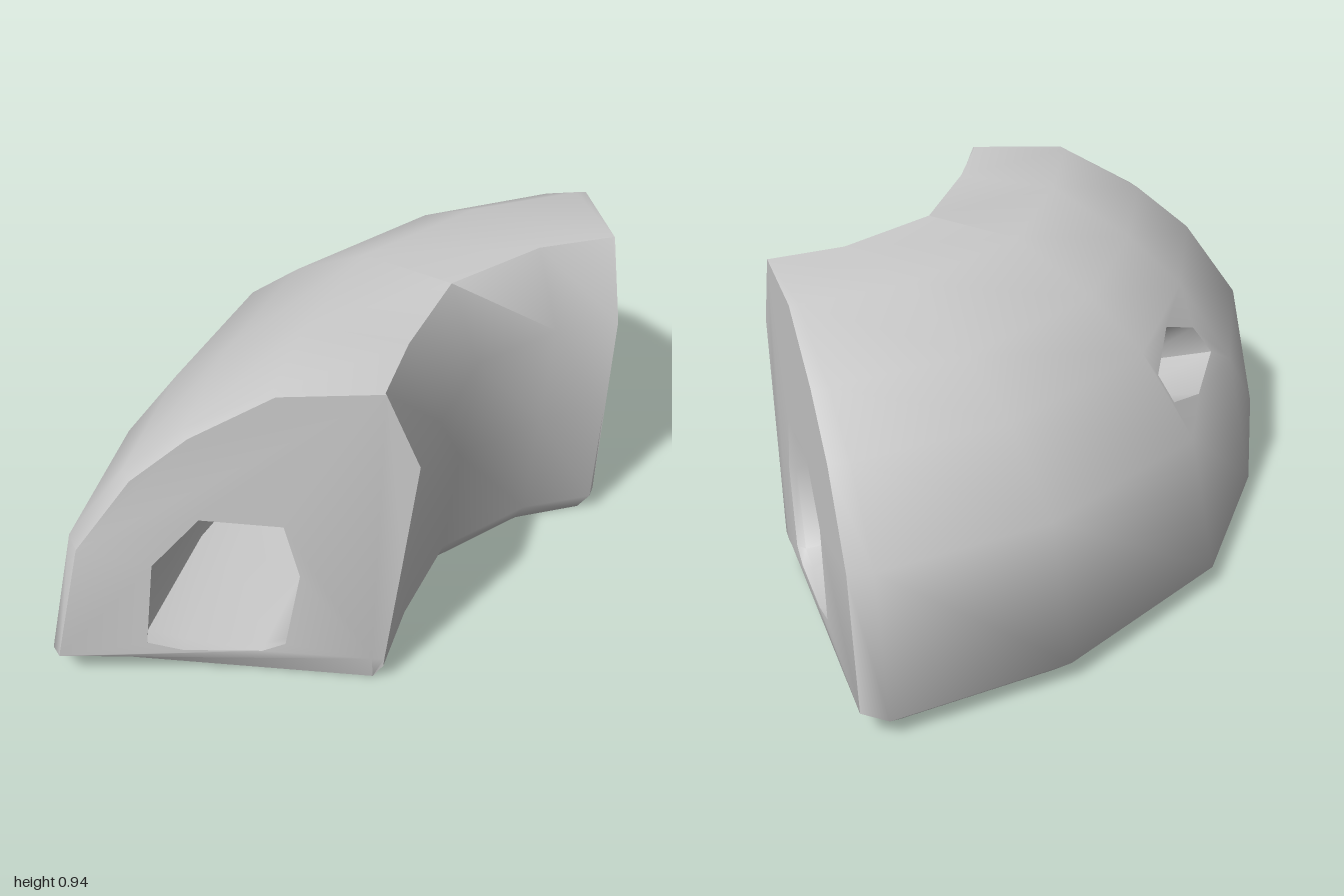
import * as THREE from 'three';
import { toCreasedNormals } from 'three/addons/utils/BufferGeometryUtils.js';

// Plan lines across the bend, front to back: outer x, z then inner x, z
const stations = [
  [-0.27, 1.0, 0.5, 0.48],
  [-0.33, 0.96, 0.5, 0.48],
  [-0.5, 0.52, 0.44, 0.3],
  [-0.59, 0.03, 0.38, 0.03],
  [-0.44, -0.54, 0.47, -0.22],
  [-0.15, -0.96, 0.585, -0.35],
  [-0.09, -1.0, 0.585, -0.35],
];
const LAST = stations.length - 1;

// Cross-sections as [fraction from outer to inner side, height]
const shellProfile = [
  [0.07, 0], [0, 0.06], [0.08, 0.45], [0.24, 0.67], [0.4, 0.8], [0.63, 0.925],
  [0.91, 0.935], [1, 0.72], [0.955, 0.4], [0.91, 0.06], [0.875, 0],
];
const tunnelProfile = [
  [0.25, 0.14], [0.28, 0.4], [0.415, 0.55], [0.64, 0.53],
  [0.68, 0.37], [0.635, 0.14], [0.57, 0.115], [0.35, 0.115],
];

// Window outline within one wall panel: [along the bend, up the wall]
const windowOutline = [
  [0.97, 0.4], [0.97, 0.72], [0.52, 0.9], [0.2, 0.6], [0.17, 0.26], [0.63, 0.17],
];
const WINDOW_STATION = 2;

function onStation(i, u, y) {
  const [ox, oz, ix, iz] = stations[i];
  return new THREE.Vector3(ox + (ix - ox) * u, y, oz + (iz - oz) * u);
}

// Sections of the shell; the end sections are raised for the bottom bevel
function shellSection(i) {
  const isEnd = i === 0 || i === LAST;
  return shellProfile.map(([u, y]) => {
    const p = onStation(i, u, isEnd ? Math.max(y, 0.09) : y);
    if (y === 0 && i === 1) p.lerp(onStation(2, u, y), 0.1);
    if (y === 0 && i === LAST - 1) p.lerp(onStation(LAST - 2, u, y), 0.1);
    return p;
  });
}

// Sections of the tunnel, drifting towards the inner side at the back
const tunnelUV = (i) => tunnelProfile.map(([u, y]) => [u + (0.11 * i) / LAST, y]);
const tunnelSection = (i) => tunnelUV(i).map(([u, y]) => onStation(i, u, y));

function createSurface() {
  const positions = [];
  const tri = (a, b, c, flip) => {
    for (const p of flip ? [a, c, b] : [a, b, c]) positions.push(p.x, p.y, p.z);
  };
  return {
    quad(a, b, c, d, flip) {
      tri(a, b, c, flip);
      tri(a, c, d, flip);
    },
    // Flat outline with one hole, placed in space by matching 3D points
    holed(outline, hole, points, flip) {
      const toV = (list) => list.map(([x, y]) => new THREE.Vector2(x, y));
      const contour = toV(outline), inner = toV(hole);
      const all = [...contour, ...inner];
      for (const [a, b, c] of THREE.ShapeUtils.triangulateShape(contour, [inner])) {
        const ccw = THREE.ShapeUtils.area([all[a], all[b], all[c]]) > 0;
        tri(points[a], points[b], points[c], ccw === flip);
      }
    },
    geometry() {
      const g = new THREE.BufferGeometry();
      g.setAttribute('position', new THREE.Float32BufferAttribute(positions, 3));
      return toCreasedNormals(g, 1.22);
    },
  };
}

// Skin over the sections, with the window cut in panel j; returns the window's edge
function skin(surface, sections, j0, flip) {
  let rim;
  const n = sections[0].length;
  for (let i = 0; i < LAST; i++) {
    for (let j = 0; j < n; j++) {
      const k = (j + 1) % n;
      const a = sections[i][j], b = sections[i][k];
      const c = sections[i + 1][k], d = sections[i + 1][j];
      if (i === WINDOW_STATION && j === j0) {
        rim = windowOutline.map(([s, t]) =>
          a.clone().lerp(d, s).lerp(b.clone().lerp(c, s), t));
        surface.holed([[0, 0], [1, 0], [1, 1], [0, 1]], windowOutline,
          [a, d, c, b, ...rim], !flip);
      } else {
        surface.quad(a, b, c, d, flip);
      }
    }
  }
  return rim;
}

export function createModel() {
  const group = new THREE.Group();
  group.name = 'bentTunnel';
  const material = new THREE.MeshStandardMaterial({ color: 0xcccccc, side: THREE.DoubleSide });
  const add = (name, surface) => {
    const mesh = new THREE.Mesh(surface.geometry(), material);
    mesh.name = name;
    group.add(mesh);
  };
  const shells = stations.map((_, i) => shellSection(i));
  const tunnels = stations.map((_, i) => tunnelSection(i));

  // Outer body with both end faces
  const body = createSurface();
  const outerRim = skin(body, shells, 2, false);
  for (const i of [0, LAST]) {
    const outline = shellProfile.map(([u, y]) => [u, Math.max(y, 0.09)]);
    body.holed(outline, tunnelUV(i), [...shells[i], ...tunnels[i]], i === LAST);
  }
  add('body', body);

  // Passage through the body
  const tunnel = createSurface();
  const innerRim = skin(tunnel, tunnels, 1, true);
  add('tunnel', tunnel);

  // Sides of the window between the outer wall and the passage
  const reveal = createSurface();
  outerRim.forEach((p, i) => {
    const k = (i + 1) % outerRim.length;
    reveal.quad(p, outerRim[k], innerRim[k], innerRim[i], false);
  });
  add('windowReveal', reveal);

  return group;
}
